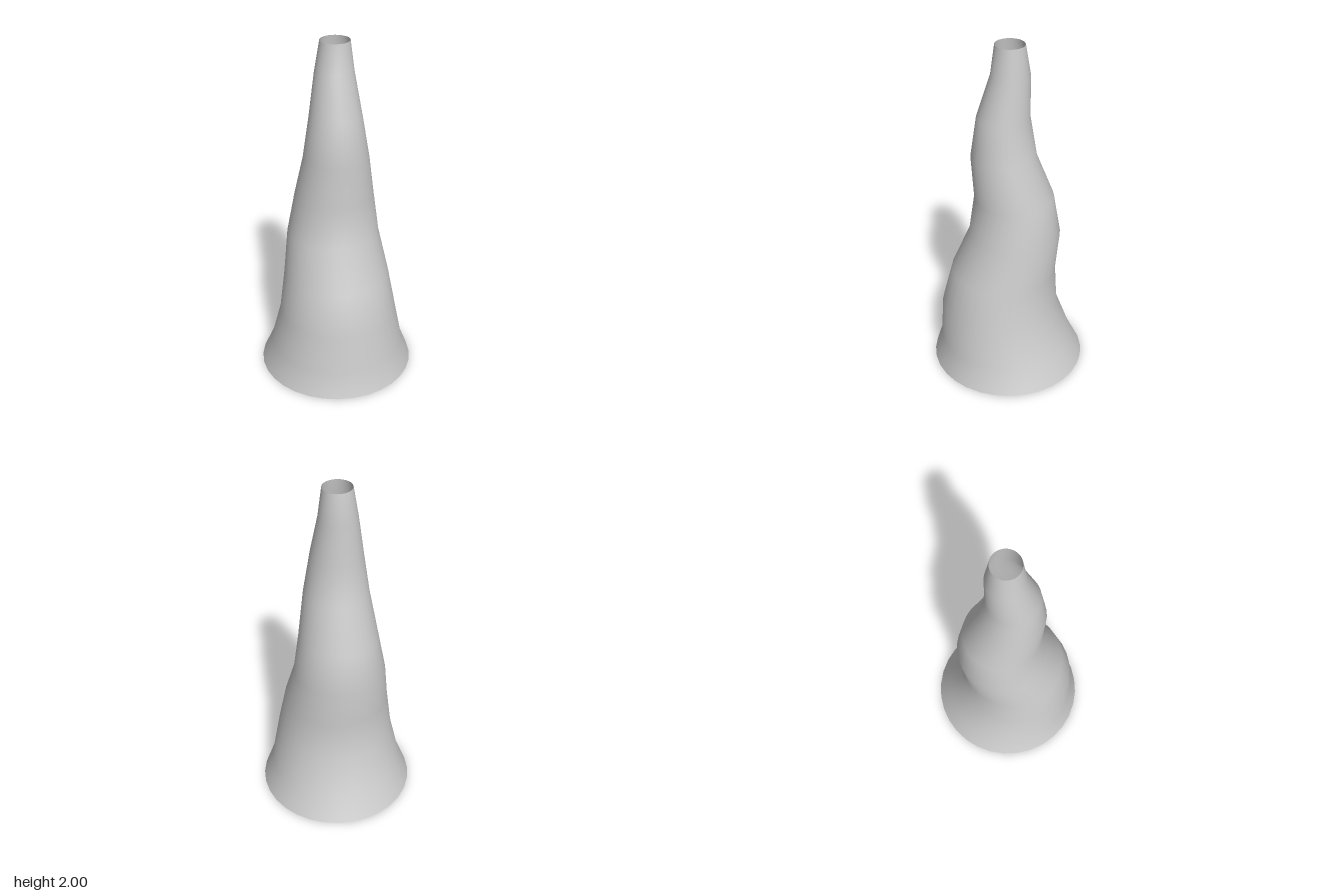
import * as THREE from 'three';

// Cross-sections from bottom to top: height, min x, max x, min z, max z
const RINGS = [
  [0, -0.452, 0.452, -0.452, 0.452],
  [0.15, -0.4, 0.385, -0.38, 0.405],
  [0.38, -0.37, 0.315, -0.3, 0.385],
  [0.62, -0.322, 0.285, -0.285, 0.325],
  [0.86, -0.255, 0.275, -0.3, 0.225],
  [1.1, -0.21, 0.237, -0.257, 0.195],
  [1.35, -0.2, 0.165, -0.167, 0.202],
  [1.59, -0.165, 0.123, -0.13, 0.165],
  [1.83, -0.107, 0.108, -0.122, 0.093],
  [2, -0.081, 0.084, -0.092, 0.071],
];
const SIDES = 32;
const START = 0.045; // small turn of the first vertex

export function createModel() {
  const group = new THREE.Group();
  group.name = 'twistedCone';

  // Open tube whose rings wander around the axis as they shrink
  const geometry = new THREE.CylinderGeometry(1, 1, 1, SIDES, RINGS.length - 1, true);
  const pos = geometry.attributes.position;
  const normal = geometry.attributes.normal;
  for (let i = 0; i < pos.count; i++) {
    const row = Math.floor(i / (SIDES + 1));
    const a = ((i % (SIDES + 1)) % SIDES) / SIDES * Math.PI * 2 + START;
    const [y, x0, x1, z0, z1] = RINGS[RINGS.length - 1 - row];
    pos.setXYZ(i,
      (x0 + x1) / 2 + Math.sin(a) * (x1 - x0) / 2,
      y,
      (z0 + z1) / 2 + Math.cos(a) * (z1 - z0) / 2);
  }
  geometry.computeVertexNormals();

  // Blend the normals across the seam
  const first = new THREE.Vector3(), last = new THREE.Vector3();
  for (let row = 0; row < RINGS.length; row++) {
    const i = row * (SIDES + 1), j = i + SIDES;
    first.fromBufferAttribute(normal, i).add(last.fromBufferAttribute(normal, j)).normalize();
    normal.setXYZ(i, first.x, first.y, first.z);
    normal.setXYZ(j, first.x, first.y, first.z);
  }

  const shell = new THREE.Mesh(geometry, new THREE.MeshStandardMaterial({
    color: 0xcccccc, side: THREE.DoubleSide,
  }));
  shell.name = 'shell';
  group.add(shell);
  return group;
}
